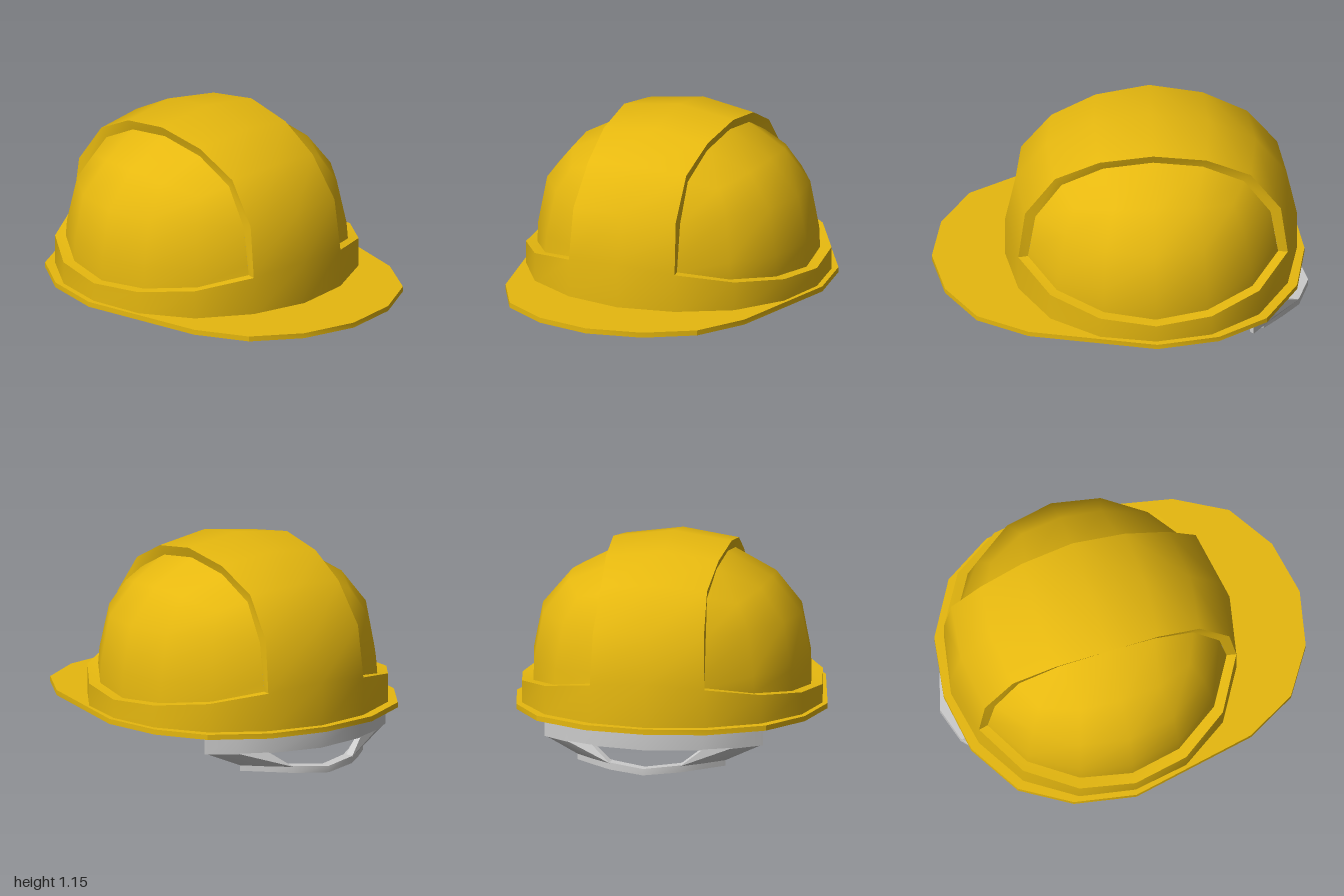
import * as THREE from 'three';
import { mergeGeometries, toCreasedNormals } from 'three/addons/utils/BufferGeometryUtils.js';

const CZ = -0.165; // z of the dome's centre; shell points are given relative to it
const shellMat = new THREE.MeshStandardMaterial({ color: 0xe6b80f, side: THREE.DoubleSide });
const strapMat = new THREE.MeshStandardMaterial({ color: 0xcccccc, side: THREE.DoubleSide });

// Surface through rows of points: rows run upward, columns left to right seen from outside
function grid(rows) {
  const pos = [];
  const tri = (...p) => {
    const keys = new Set(p.map((q) => q.join()));
    if (keys.size === 3) p.forEach((q) => pos.push(...q));
  };
  for (let i = 0; i < rows.length - 1; i++) {
    for (let j = 0; j < rows[i].length - 1; j++) {
      const a = rows[i][j], b = rows[i][j + 1], c = rows[i + 1][j], d = rows[i + 1][j + 1];
      tri(a, b, d);
      tri(a, d, c);
    }
  }
  const g = new THREE.BufferGeometry();
  g.setAttribute('position', new THREE.Float32BufferAttribute(pos, 3));
  return g;
}

// Solid through closed four-sided or longer sections, capped at both ends
function loft(sections) {
  const rows = sections.map((s) => [...s, s[0]]);
  const cap = (s) => {
    const h = s.length / 2;
    return grid([s.slice(0, h), s.slice(h).reverse()]);
  };
  return mergeGeometries([grid(rows), cap(sections[0]), cap(sections.at(-1))]);
}

function mesh(name, geometry, material, crease = 0.7) {
  const m = new THREE.Mesh(toCreasedNormals(geometry, crease), material);
  m.name = name;
  return m;
}

const flipX = ([x, y, z]) => [-x, y, z];
const flipZ = ([x, y, z]) => [x, y, -z];
// Front half of a row (ending on the side's middle) continued to the back
const toBack = (half) => [...half, ...half.slice(0, -1).reverse().map(flipZ)];

// Recessed side panel, front half of each row
const corner = [0.28, 0.90, 0.485];
const panelRows = [
  [[0.30, 0.45, 0.665], [0.54, 0.40, 0.52], [0.70, 0.365, 0.275], [0.75, 0.345, 0]],
  [[0.30, 0.50, 0.657], [0.535, 0.49, 0.515], [0.695, 0.48, 0.275], [0.75, 0.48, 0]],
  [[0.30, 0.71, 0.625], [0.50, 0.73, 0.475], [0.65, 0.73, 0.26], [0.70, 0.73, 0]],
  [corner, [0.43, 0.86, 0.42], [0.52, 0.905, 0.22], [0.54, 0.92, 0]],
  [corner, corner, [0.29, 1.01, 0.265], [0.30, 1.05, 0]],
].map(toBack);

// Edge of the raised ridge, and of the band's top, front half of each
const ridgeEdge = [[0.31, 0.45, 0.716], [0.30, 0.73, 0.68], [0.287, 0.945, 0.52], [0.305, 1.06, 0.285], [0.32, 1.105, 0]];
const ridgeMiddle = [[0, 0.48, 0.775], [0, 0.75, 0.72], [0, 0.97, 0.555], [0, 1.10, 0.305], [0, 1.15, 0]];
const bandTop = [ridgeEdge[0], [0.585, 0.40, 0.555], [0.757, 0.365, 0.297], [0.81, 0.345, 0]];

function createShell() {
  const shell = new THREE.Group();
  shell.name = 'shell';
  shell.position.z = CZ;

  // Ridge over the top, flush with the band around the base
  const edge = toBack(ridgeEdge), middle = toBack(ridgeMiddle);
  const ridge = grid(edge.map((e, i) => [flipX(e), middle[i], e]));
  const side = toBack(bandTop);
  const top = [ridgeMiddle[0], ...side, flipZ(ridgeMiddle[0]), ...side.map(flipX).reverse(), ridgeMiddle[0]];
  const band = grid([top.map(([x, , z]) => [x, 0.225, z]), top]);
  shell.add(mesh('ridgeAndBand', mergeGeometries([ridge, band]), shellMat));

  // Side panels, and the step that frames each
  const inArch = toBack([panelRows[0][0], panelRows[2][0], corner, panelRows[4][2], panelRows[4][3]]);
  const loop = (bottom, arch) => [...bottom, ...arch.slice(0, -1).reverse()];
  const step = [loop(side, edge), loop(panelRows[0], inArch)];
  for (const [label, sign] of [['left', 1], ['right', -1]]) {
    const place = (rows) => (sign > 0 ? rows : rows.map((r) => r.map(flipX).reverse()));
    shell.add(mesh(label + 'Panel', grid(place(panelRows)), shellMat, 0.9));
    shell.add(mesh(label + 'PanelStep', grid(place(step)), shellMat));
  }
  return shell;
}

// Flat brim with a peak at the front and an opening for the head
function createBrim() {
  const half = [[0, 1], [0.30, 0.94], [0.55, 0.78], [0.70, 0.51], [0.84, -0.17], [0.78, -0.50], [0.62, -0.76], [0.33, -0.93], [0, -0.98]];
  const outline = [...half, ...half.slice(1, -1).reverse().map(([x, z]) => [-x, z])];
  const shape = new THREE.Shape(outline.map(([x, z]) => new THREE.Vector2(x, -z)));
  const hole = [];
  for (let i = 0; i < 16; i++) {
    const a = (i * Math.PI) / 8;
    hole.push(new THREE.Vector2(0.79 * Math.sin(a), -CZ - 0.755 * Math.cos(a)));
  }
  shape.holes.push(new THREE.Path(hole));
  const g = new THREE.ExtrudeGeometry(shape, { depth: 0.028, bevelEnabled: false });
  g.rotateX(-Math.PI / 2).translate(0, 0.217, 0);
  g.deleteAttribute('uv');
  return mesh('brim', g, shellMat, 0.4);
}

// Head strap under the back: curved band, two legs and a lower rail
function createStrap() {
  const strap = new THREE.Group();
  strap.name = 'headStrap';
  const both = (half) => [...half, ...half.slice(0, -1).reverse().map(([x, ...r]) => [-x, ...r])];
  const inward = (x, z, t) => {
    const l = Math.hypot(x, z - CZ);
    return [x * (1 - t / l), z - ((z - CZ) * t) / l];
  };
  // Upright four-cornered section of a strip
  const section = ([x, z, y0, y1], t) => {
    const [u, w] = inward(x, z, t);
    return [[x, y0, z], [x, y1, z], [u, y1, w], [u, y0, w]];
  };
  const upper = [[0.59, -0.69], [0.45, -0.80], [0.30, -0.87], [0, -0.93]].map((p) => [...p, 0.12, 0.225]);
  strap.add(mesh('strapBand', loft(both(upper).map((p) => section(p, 0.03))), strapMat));

  const lower = [[0.40, -0.75, 0.015, 0.05], [0.30, -0.85, 0.015, 0.05], [0.19, -0.945, 0.012, 0.05], [0, -1, 0, 0.035]];
  strap.add(mesh('strapRail', loft(both(lower).map((p) => section(p, 0.06))), strapMat));

  // Leg narrowing from the band down to the rail
  const flat = (pts, y, t) => [
    ...pts.map(([x, z]) => [x, y, z]),
    ...pts.map(([x, z]) => inward(x, z, t)).map(([x, z]) => [x, y, z]).reverse(),
  ];
  const leg = [flat(upper.slice(0, 3), 0.125, 0.03), flat(lower.slice(0, 3), 0.045, 0.045)];
  for (const [label, place] of [['left', (p) => p], ['right', flipX]]) {
    strap.add(mesh(label + 'StrapLeg', loft(leg.map((s) => s.map(place))), strapMat));
  }
  return strap;
}

export function createModel() {
  const helmet = new THREE.Group();
  helmet.name = 'hardHat';
  helmet.add(createShell(), createBrim(), createStrap());
  return helmet;
}
